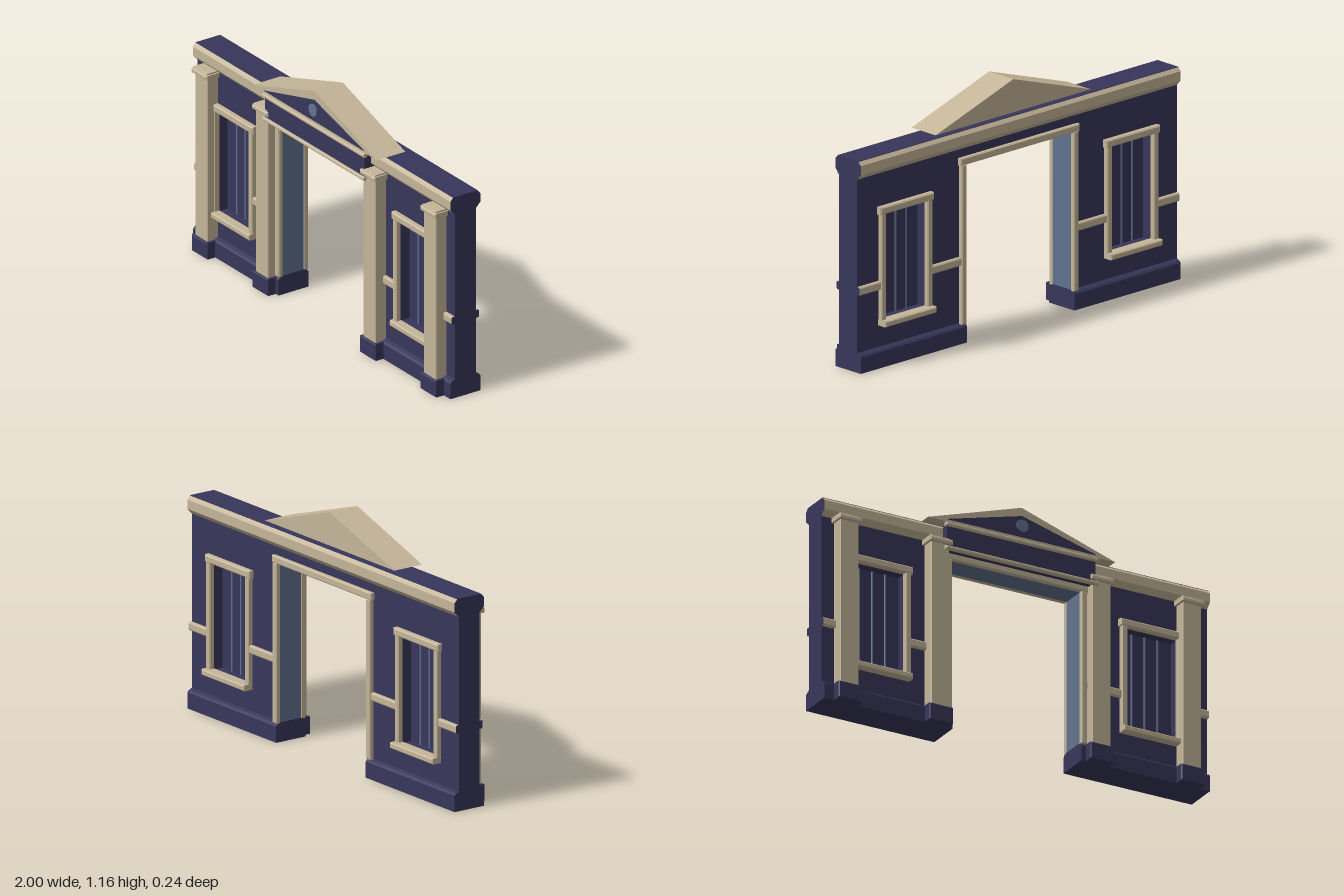
import * as THREE from 'three';

const mat = (name, color, side = THREE.FrontSide) => {
  const m = new THREE.MeshStandardMaterial({ color, side });
  m.name = name;
  return m;
};

export function createModel() {
  const navy = mat('navy wall', 0x38365a);
  const tan = mat('tan stone', 0xc5b699);
  const slate = mat('slate metal', 0x62728f);
  const root = new THREE.Group();
  root.name = 'gateway';

  const add = (name, geo, material) => {
    const mesh = new THREE.Mesh(geo, material);
    mesh.name = name;
    root.add(mesh);
    return mesh;
  };

  // Block given by its limits, with an optional chamfer on every edge
  const block = (name, material, x0, x1, y0, y1, z0, z1, b = 0) => {
    const w = x1 - x0, h = y1 - y0, d = z1 - z0;
    let geo;
    if (b) {
      const s = new THREE.Shape();
      const a = w / 2 - b, c = h / 2 - b;
      s.moveTo(-a, -c).lineTo(a, -c).lineTo(a, c).lineTo(-a, c).closePath();
      geo = new THREE.ExtrudeGeometry(s, {
        depth: d - 2 * b, bevelEnabled: true, bevelThickness: b, bevelSize: b, bevelSegments: 1,
      });
      geo.translate(0, 0, b - d / 2);
    } else geo = new THREE.BoxGeometry(w, h, d);
    geo.translate((x0 + x1) / 2, (y0 + y1) / 2, (z0 + z1) / 2);
    return add(name, geo, material);
  };

  // Same block on both sides of the gateway
  const pair = (name, material, x0, x1, ...rest) => {
    block(name + 'Left', material, x0, x1, ...rest);
    block(name + 'Right', material, -x1, -x0, ...rest);
  };

  // Moulding: a (z, y) profile swept along x; materials are [end caps, sides]
  const moulding = (name, materials, x0, x1, profile) => {
    const s = new THREE.Shape(profile.map(([z, y]) => new THREE.Vector2(-z, y)));
    const geo = new THREE.ExtrudeGeometry(s, { depth: x1 - x0, bevelEnabled: false });
    geo.rotateY(Math.PI / 2).translate(x0, 0, 0);
    return add(name, geo, materials);
  };

  const zF = 0.045, zB = -0.07;

  // Wall with doorway and two window openings
  const wall = new THREE.Shape();
  [[-1, 0], [-0.345, 0], [-0.345, 0.85], [0.345, 0.85], [0.345, 0], [1, 0], [1, 0.995], [-1, 0.995]]
    .forEach(([x, y], i) => (i ? wall.lineTo(x, y) : wall.moveTo(x, y)));
  for (const s of [-1, 1]) {
    const hole = new THREE.Path();
    const c = s * 0.706, w = 0.137;
    hole.moveTo(c - w, 0.215).lineTo(c - w, 0.725).lineTo(c + w, 0.725).lineTo(c + w, 0.215).closePath();
    wall.holes.push(hole);
  }
  const wallGeo = new THREE.ExtrudeGeometry(wall, { depth: zF - zB, bevelEnabled: false });
  add('wall', wallGeo.translate(0, 0, zB), navy);

  // Cornice, dark along its flat top and at its ends
  moulding('cornice', [navy, tan], -1, 1, [
    [zF, 0.912], [0.07, 0.938], [0.07, 0.982], [0.055, 0.998],
    [-0.08, 0.998], [-0.095, 0.982], [-0.095, 0.938], [zB, 0.912],
  ]);
  block('corniceTop', navy, -1, 1, 0.994, 1, -0.08, 0.055);

  // Base course
  for (const [n, a, b] of [['baseLeft', 0.335, 1], ['baseRight', -1, -0.335]]) {
    moulding(n, [navy, navy], a, b, [
      [0.07, 0], [0.07, 0.076], [0.062, 0.085], [zF, 0.092],
      [zB, 0.092], [-0.087, 0.085], [-0.095, 0.076], [-0.095, 0],
    ]);
  }

  // Belt course on each face, interrupted by the windows
  for (const [a, b] of [[0.36, 0.56], [0.855, 1]]) {
    for (const [x0, x1] of [[a, b], [-b, -a]]) {
      for (const [n, z, d] of [['beltFront', zF, 1], ['beltBack', zB, -1]]) {
        const pts = [[z - 0.005 * d, 0.366], [z + 0.013 * d, 0.366], [z + 0.018 * d, 0.372],
          [z + 0.018 * d, 0.399], [z + 0.013 * d, 0.405], [z - 0.005 * d, 0.405]];
        moulding(n, [navy, tan], x0, x1, pts);
      }
    }
  }

  // Doorway lining and frames
  pair('doorLining', slate, 0.338, 0.35, 0.09, 0.845, zB - 0.002, zF + 0.002);
  block('doorLiningTop', slate, -0.345, 0.345, 0.842, 0.855, zB - 0.002, zF + 0.002);
  for (const [n, z0, z1] of [['Front', zF, 0.07], ['Back', -0.095, zB]]) {
    pair('doorJamb' + n, tan, 0.335, 0.365, 0.088, 0.842, z0, z1, 0.004);
    block('doorHead' + n, tan, -0.372, 0.372, 0.84, 0.875, z0, z1, 0.005);
  }

  // Window frames, panes and bars
  for (const [n, z0, z1, s0, s1] of [
    ['Front', zF - 0.005, 0.068, zF - 0.01, 0.085],
    ['Back', -0.093, zB + 0.005, -0.12, zB + 0.01],
  ]) {
    pair('windowInnerJamb' + n, tan, 0.546, 0.576, 0.21, 0.73, z0, z1, 0.004);
    pair('windowOuterJamb' + n, tan, 0.836, 0.866, 0.21, 0.73, z0, z1, 0.004);
    pair('windowHead' + n, tan, 0.538, 0.874, 0.72, 0.756, z0 - 0.003, z1 + 0.003, 0.006);
    pair('windowSill' + n, tan, 0.545, 0.867, 0.194, 0.222, s0, s1, 0.005);
  }
  pair('windowPane', navy, 0.568, 0.844, 0.21, 0.73, -0.015, -0.01);
  for (const s of [-1, 1]) for (const i of [-1, 0, 1]) {
    const bar = new THREE.CylinderGeometry(0.006, 0.006, 0.51, 8);
    add('windowBar', bar.translate(s * 0.706 + i * 0.067, 0.47, -0.0125), slate);
  }

  // Four pilasters
  for (const c of [0.418, 0.888]) {
    pair('pilasterFoot', navy, c - 0.061, c + 0.061, 0, 0.082, zF - 0.01, 0.115, 0.004);
    pair('pilasterShaft', tan, c - 0.048, c + 0.048, 0.078, 0.895, zF - 0.01, 0.104, 0.004);
    pair('pilasterCapital', tan, c - 0.06, c + 0.06, 0.888, 0.912, zF - 0.01, 0.118, 0.006);
    pair('pilasterCap', tan, c - 0.052, c + 0.052, 0.906, 0.919, zF - 0.01, 0.11, 0.003);
  }

  // Entablature over the doorway
  block('entablature', navy, -0.385, 0.385, 0.868, 0.986, zF, 0.108);
  block('lowerRail', tan, -0.395, 0.395, 0.864, 0.881, 0.095, 0.121, 0.005);
  block('upperRail', tan, -0.395, 0.395, 0.979, 0.997, 0.095, 0.121, 0.005);

  // Pediment with a dark face panel and a round medallion
  const triangle = (half, y0, y1, z0, z1) => {
    const s = new THREE.Shape();
    s.moveTo(-half, y0).lineTo(half, y0).lineTo(0, y1).closePath();
    return new THREE.ExtrudeGeometry(s, { depth: z1 - z0, bevelEnabled: false }).translate(0, 0, z0);
  };
  add('pediment', triangle(0.485, 1.001, 1.158, -0.047, 0.11), tan);
  add('pedimentPanel', triangle(0.385, 1.012, 1.115, 0.109, 0.115), navy);
  const disc = new THREE.CylinderGeometry(0.03, 0.03, 0.012, 16).rotateX(Math.PI / 2);
  add('medallion', disc.translate(0, 1.065, 0.116), slate);

  return root;
}
